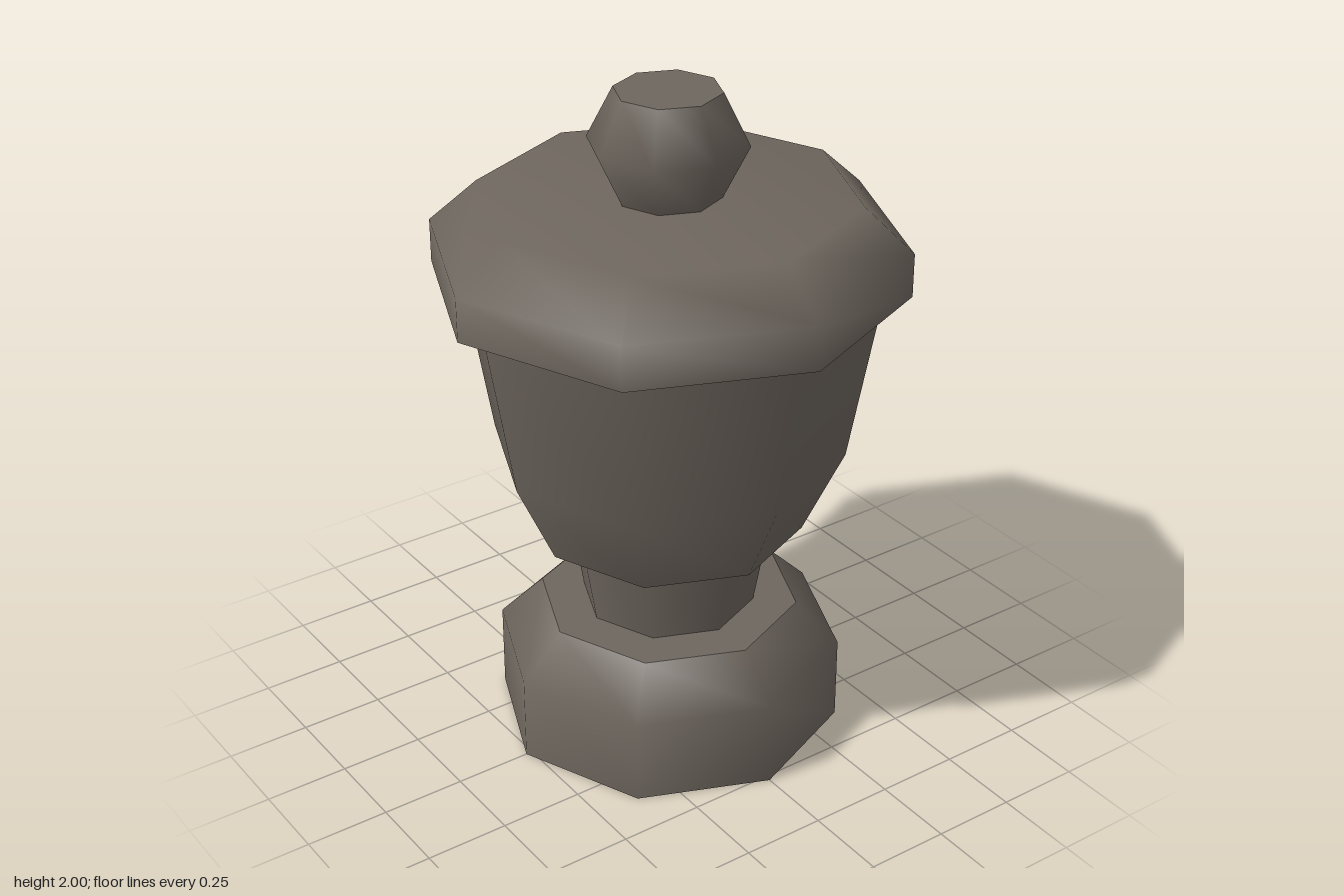
import * as THREE from 'three';
import { mergeGeometries } from 'three/addons/utils/BufferGeometryUtils.js';

const SIDES = 8;

export function createModel() {
  const model = new THREE.Group();
  model.name = 'urn';
  const stone = new THREE.MeshStandardMaterial({ color: 0x6e665e });

  // Each profile [radius, y] is smooth within itself; edges between profiles stay sharp.
  function addTurned(name, ...profiles) {
    const bands = profiles.map((profile) =>
      new THREE.LatheGeometry(profile.map(([r, y]) => new THREE.Vector2(r, y)), SIDES));
    const mesh = new THREE.Mesh(mergeGeometries(bands), stone);
    mesh.name = name;
    model.add(mesh);
  }

  // Foot with flat underside, bevelled shoulder and flat top
  addTurned('base',
    [[0, 0], [0.52, 0]],
    [[0.52, 0], [0.52, 0.26], [0.39, 0.39]],
    [[0.39, 0.39], [0, 0.39]]);

  // Stem flaring slightly upward
  addTurned('neck', [[0.26, 0.39], [0.305, 0.655]]);

  // Tapered body
  addTurned('bowl',
    [[0, 0.655], [0.4, 0.655]],
    [[0.4, 0.655], [0.52, 0.915], [0.61, 1.435]]);

  // Overhanging lid, softly shaded over its bevel
  addTurned('lid',
    [[0, 1.435], [0.687, 1.435]],
    [[0.687, 1.435], [0.687, 1.565], [0.545, 1.695], [0, 1.695]]);

  // Faceted finial with flat top
  addTurned('knob',
    [[0.153, 1.695], [0.229, 1.85], [0.153, 2]],
    [[0.153, 2], [0, 2]]);

  return model;
}
